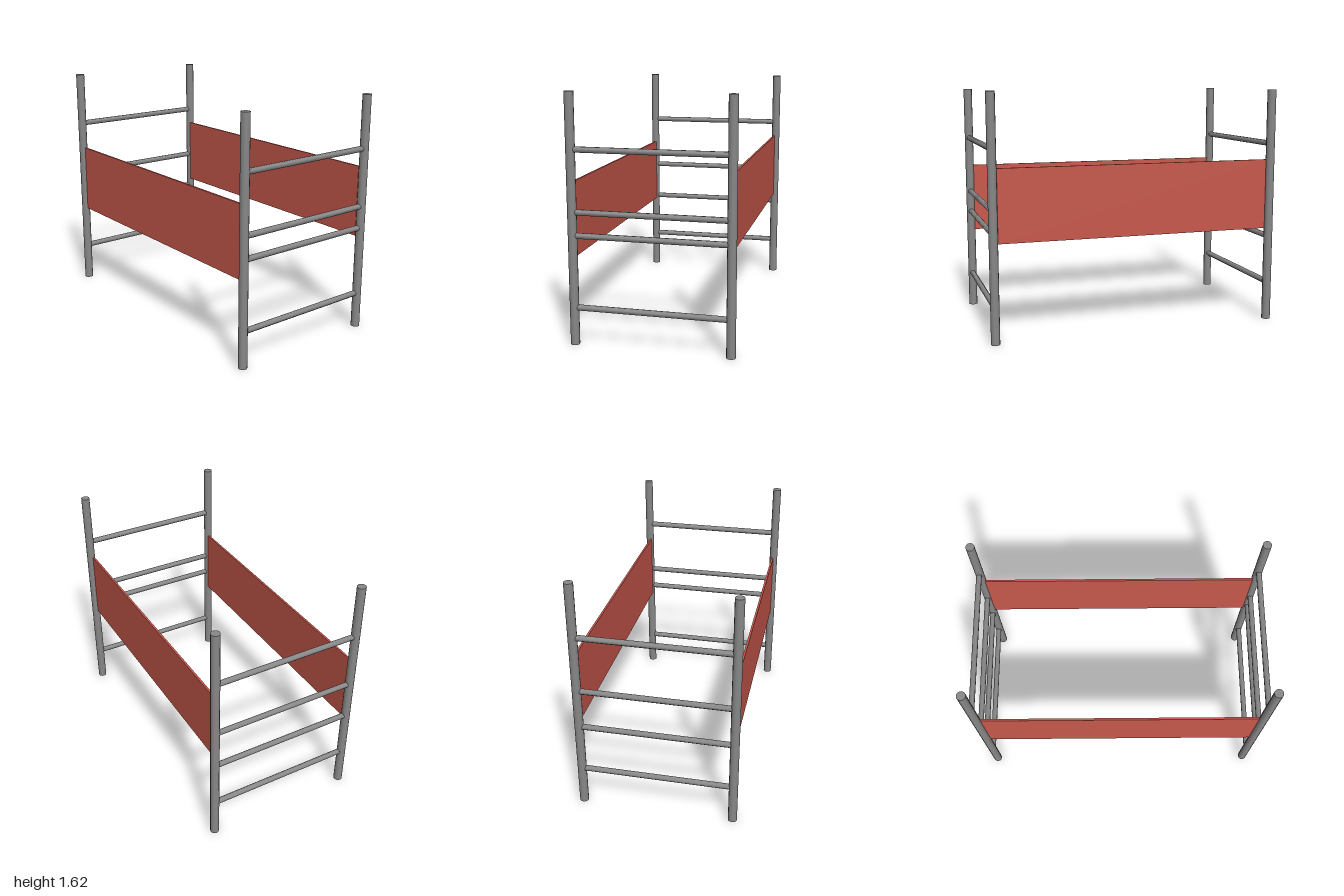
import * as THREE from 'three';

export function createModel() {
  const model = new THREE.Group();
  model.name = 'bunkFrame';
  const steel = new THREE.MeshStandardMaterial({ color: 0x888888 });
  steel.name = 'grey steel';
  const red = new THREE.MeshStandardMaterial({ color: 0xc8584c });
  red.name = 'red panel';

  const POST_X = 0.508, POST_Z = 0.97, POST_R = 0.03, HEIGHT = 1.62;

  function add(name, geometry, material, x, y, z) {
    const mesh = new THREE.Mesh(geometry, material);
    mesh.name = name;
    mesh.position.set(x, y, z);
    model.add(mesh);
  }

  // Four corner posts
  const post = new THREE.CylinderGeometry(POST_R, POST_R, HEIGHT, 12);
  for (const x of [-POST_X, POST_X]) {
    for (const z of [-POST_Z, POST_Z]) add('cornerPost', post, steel, x, HEIGHT / 2, z);
  }

  // Crossbars, at different heights on the front and back ends
  const bar = new THREE.CylinderGeometry(0.0195, 0.0195, 2 * POST_X, 8);
  bar.rotateY(Math.PI / 8).rotateZ(Math.PI / 2);
  for (const y of [0.246, 0.717, 0.867, 1.262]) add('frontCrossbar', bar, steel, 0, y, POST_Z);
  for (const y of [0.267, 0.597, 0.867, 1.25]) add('backCrossbar', bar, steel, 0, y, -POST_Z);

  // Side panels, the left one mounted a little higher
  const panel = new THREE.BoxGeometry(0.014, 0.484, 2 * (POST_Z - POST_R) + 0.01);
  add('leftPanel', panel, red, 0.497, 0.897, 0);
  add('rightPanel', panel, red, -0.502, 0.819, 0);

  return model;
}
